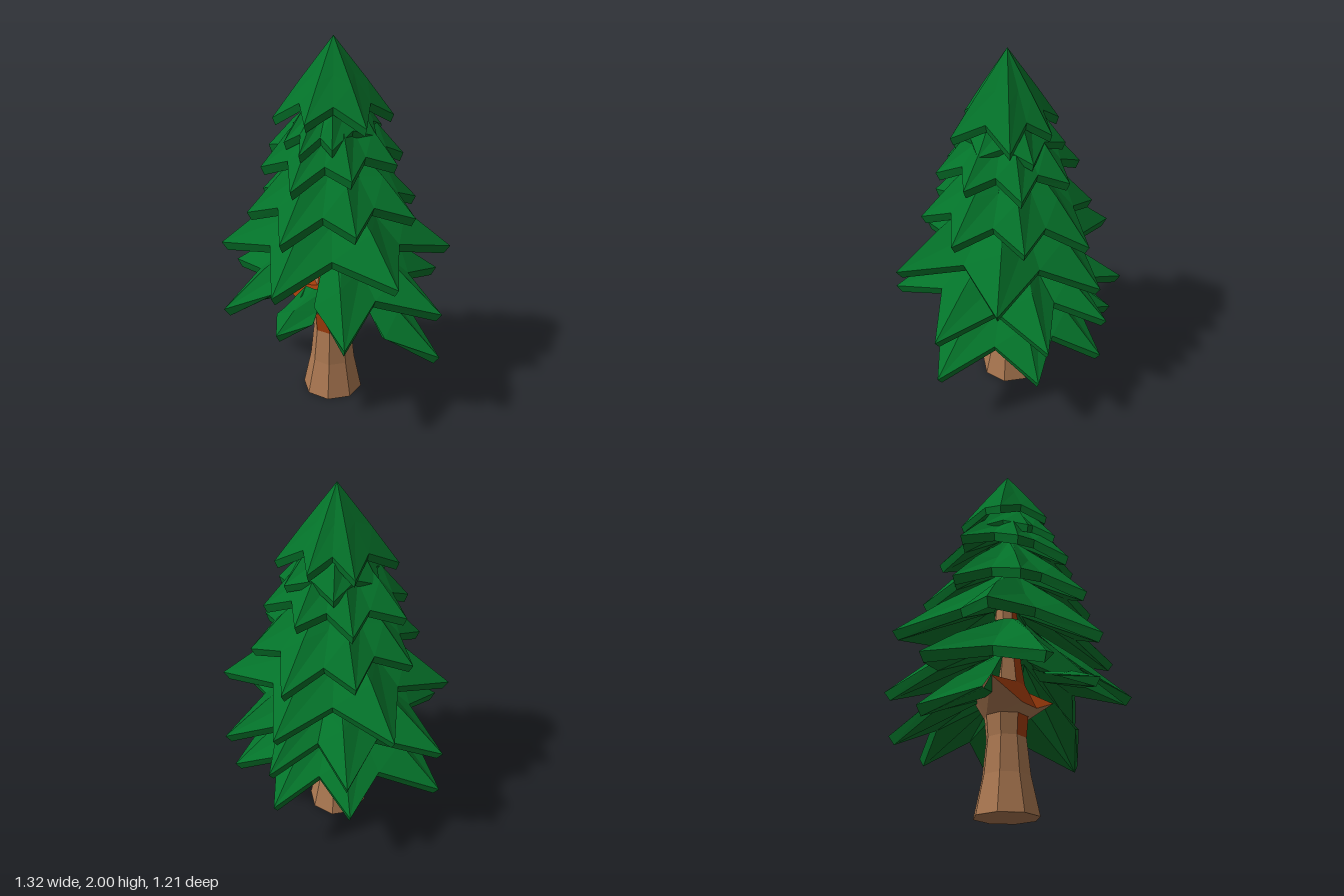
import * as THREE from 'three';

const mat = (name, color, extra = {}) => {
  const m = new THREE.MeshStandardMaterial({ color, flatShading: true, ...extra });
  m.name = name;
  return m;
};
const rad = THREE.MathUtils.degToRad;
const polar = (deg, r, y) => [Math.cos(rad(deg)) * r, y, Math.sin(rad(deg)) * r];

// Flat-faced mesh from columns of points, each running from top to bottom
function loft(name, columns, closed, material, pick = () => true) {
  const pos = [];
  const n = columns.length;
  for (let i = 0; i < (closed ? n : n - 1); i++) {
    const A = columns[i], B = columns[(i + 1) % n];
    for (let j = 0; j < A.length - 1; j++) {
      if (!pick(i, j)) continue;
      pos.push(...A[j], ...B[j], ...B[j + 1], ...A[j], ...B[j + 1], ...A[j + 1]);
    }
  }
  const g = new THREE.BufferGeometry();
  g.setAttribute('position', new THREE.Float32BufferAttribute(pos, 3));
  g.computeVertexNormals();
  const mesh = new THREE.Mesh(g, material);
  mesh.name = name;
  return mesh;
}

// Skirt of drooping points. tips: [angle, radius, height] in order of angle.
// Between two tips lies a valley; an open skirt (end = half width in degrees) tapers off at its ends.
function skirt(name, material, { tips, r0, y0, notch, drop, end = 0, t = 0.045, bulge = 0.012 }) {
  const columns = [];
  const add = (deg, r, y, lift, thick) => {
    const inner = thick ? y + (y0 - y) * 0.5 : y0;
    columns.push([
      polar(deg, r0, y0),
      polar(deg, r0 + (r - r0) * 0.55, y0 + (y - y0) * 0.55 + lift),
      polar(deg, r, y),
      polar(deg, r * 0.95, y - thick),
      polar(deg, r0, inner),
    ]);
  };
  const valley = (deg, R, y, thick) => {
    const r = R * notch;
    add(deg, r, y + (y0 - y) * (R - r) / (R - r0) - drop, -bulge, thick);
  };
  if (end) valley(tips[0][0] - end, tips[0][1], tips[0][2], 0);
  tips.forEach(([a, R, y], i) => {
    add(a, R, y, bulge * 1.5, t);
    if (end && i === tips.length - 1) return valley(a + end, R, y, 0);
    const [b, R2, y2] = tips[(i + 1) % tips.length];
    valley((a + (b < a ? b + 360 : b)) / 2, (R + R2) / 2, (y + y2) / 2, t);
  });
  return loft(name, columns, !end, material);
}

export function createModel() {
  const group = new THREE.Group();
  const green = mat('needle green', 0x04732a, { side: THREE.DoubleSide });
  const brown = mat('bark brown', 0xab7851);
  const orange = mat('bare wood orange', 0xa23c0b);

  // Trunk: rings from top to bottom as [height, radius], flaring into a collar
  const rings = [[1.1, 0.06], [0.8, 0.08], [0.67, 0.1], [0.62, 0.27], [0.5, 0.115],
    [0.39, 0.105], [0.2, 0.125], [0, 0.168], [0, 0]];
  const lobes = [0.29, 0.16, 0.16, 0.29, 0.2, 0.19, 0.19, 0.2];
  const columns = lobes.map((lobe, i) => rings.map(([h, r], j) => {
    const front = i === 1 || i === 2;
    if (j === 3) return polar(22.5 + i * 45, lobe, front ? 0.54 : 0.63);
    return polar(22.5 + i * 45, r, h);
  }));
  // Bare wood on top of the collar and along the front of the trunk
  const bare = (i, j) => j === 2 || (i === 1 && (j < 3 || j === 4));
  const trunk = [
    loft('trunk', columns, true, brown, (i, j) => !bare(i, j)),
    loft('bareWood', columns, true, orange, bare),
  ];
  for (const part of trunk) {
    part.position.z = 0.015;
    group.add(part);
  }

  // Foliage tiers; the lowest two are open at the front
  const tiers = {
    lowBackBranches: {
      tips: [[180, 0.67, 0.39], [230, 0.6, 0.4], [270, 0.61, 0.39], [310, 0.6, 0.4], [360, 0.65, 0.39]],
      r0: 0.1, y0: 0.82, notch: 0.68, drop: 0.04, end: 22,
    },
    lowerTier: {
      tips: [[127, 0.62, 0.62], [180, 0.67, 0.645], [232, 0.64, 0.64], [270, 0.63, 0.64],
        [307, 0.645, 0.64], [360, 0.65, 0.645], [414, 0.635, 0.61]],
      r0: 0.1, y0: 1.02, notch: 0.63, drop: 0.07, end: 19,
    },
    middleTier: {
      tips: [[30, 0.64, 0.9], [90, 0.58, 0.82], [152, 0.61, 0.89], [210, 0.63, 0.88],
        [270, 0.58, 0.83], [330, 0.63, 0.89]],
      r0: 0.08, y0: 1.3, notch: 0.62, drop: 0.09,
    },
    upperMiddleTier: {
      tips: [[0, 0.48, 1.14], [45, 0.46, 1.12], [90, 0.5, 1.07], [135, 0.46, 1.12], [180, 0.46, 1.13],
        [225, 0.46, 1.12], [270, 0.5, 1.06], [315, 0.46, 1.13]],
      r0: 0.06, y0: 1.52, notch: 0.72, drop: 0.05,
    },
    upperTier: {
      tips: [[0, 0.37, 1.4], [45, 0.37, 1.37], [90, 0.4, 1.31], [135, 0.38, 1.36], [180, 0.41, 1.39],
        [225, 0.38, 1.37], [270, 0.37, 1.39], [315, 0.38, 1.38]],
      r0: 0.05, y0: 1.72, notch: 0.72, drop: 0.045,
    },
    underCrownTier: {
      tips: [[0, 0.25, 1.53], [60, 0.28, 1.5], [90, 0.32, 1.47], [120, 0.28, 1.5], [180, 0.25, 1.53],
        [240, 0.29, 1.52], [300, 0.29, 1.52]],
      r0: 0.04, y0: 1.8, notch: 0.75, drop: 0.03, t: 0.04,
    },
    crown: {
      tips: [[28, 0.31, 1.6], [90, 0.27, 1.61], [150, 0.31, 1.59], [218, 0.27, 1.61], [270, 0.26, 1.62], [323, 0.31, 1.6]],
      r0: 0, y0: 2, notch: 0.66, drop: 0.05, t: 0.04, bulge: 0.003,
    },
    frontSprig: { tips: [[90, 0.55, 0.6]], r0: 0.2, y0: 0.71, notch: 0.73, drop: 0.03, end: 16 },
  };
  for (const [name, o] of Object.entries(tiers)) {
    const tier = skirt(name, green, o);
    tier.position.set(0.01, 0, 0.02);
    group.add(tier);
  }
  return group;
}
